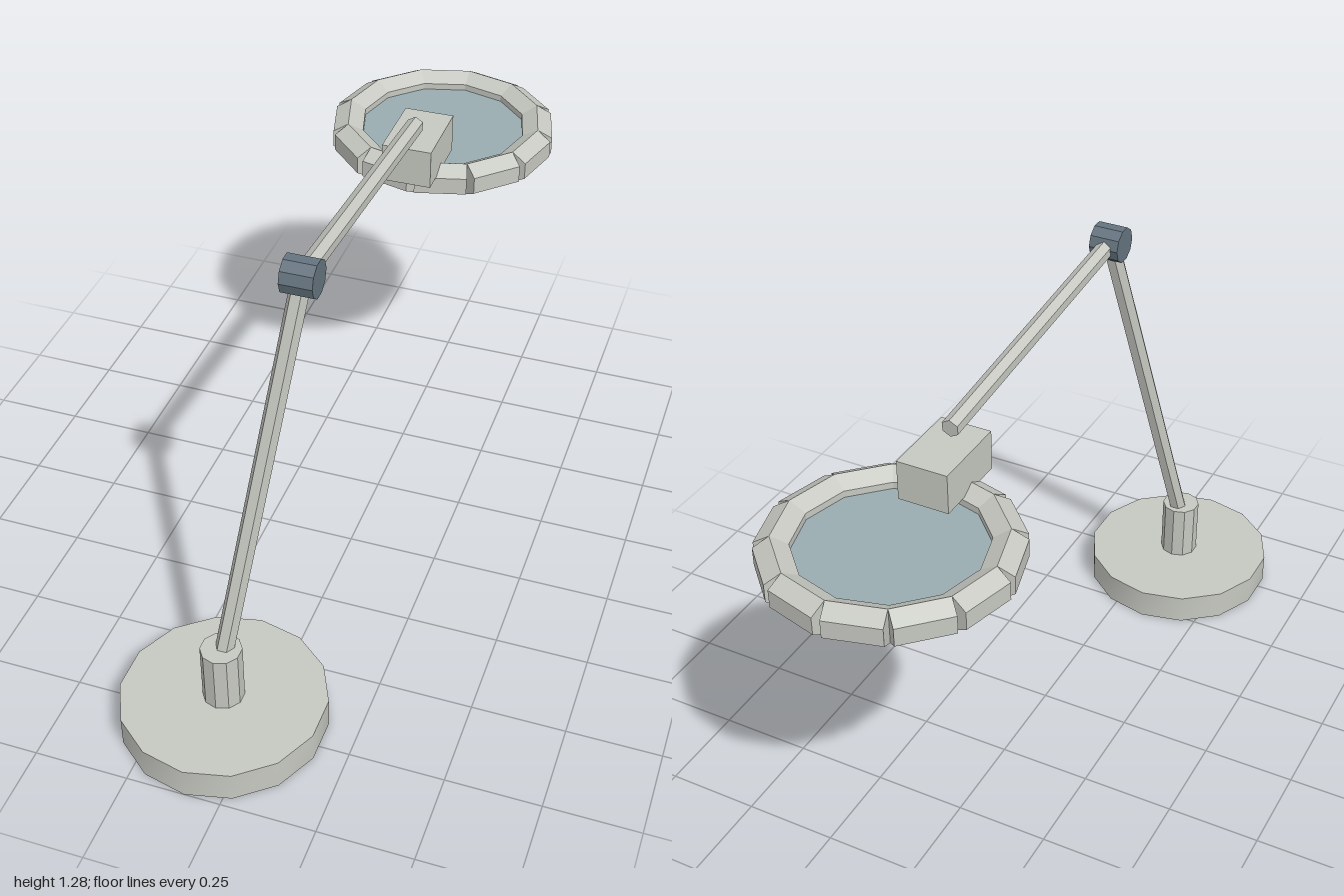
import * as THREE from 'three';
import { toCreasedNormals } from 'three/addons/utils/BufferGeometryUtils.js';

const material = (name, color) => {
  const m = new THREE.MeshStandardMaterial({ color });
  m.name = name;
  return m;
};

export function createModel() {
  const body = material('warm grey', 0xc6c8c1);
  const steel = material('slate blue', 0x65747f);
  const lensBlue = material('lens blue', 0x9aacb0);

  const model = new THREE.Group();
  model.name = 'magnifierLamp';

  function add(name, geometry, mat, x, y, z, parent = model) {
    const mesh = new THREE.Mesh(toCreasedNormals(geometry, 0.5), mat);
    mesh.name = name;
    mesh.position.set(x, y, z);
    parent.add(mesh);
    return mesh;
  }

  // Hexagonal bar from a to b, turned by roll about its own axis
  function bar(name, a, b, radius, roll = 0, parent = model) {
    const dir = b.clone().sub(a);
    const geometry = new THREE.CylinderGeometry(radius, radius, dir.length(), 6).rotateY(roll);
    const mid = a.clone().add(b).multiplyScalar(0.5);
    const mesh = add(name, geometry, mat6, mid.x, mid.y, mid.z, parent);
    mesh.quaternion.setFromUnitVectors(new THREE.Vector3(0, 1, 0), dir.normalize());
    return mesh;
  }
  const mat6 = body;

  // Base and stem
  add('base', new THREE.CylinderGeometry(0.27, 0.27, 0.084, 14), body, -0.095, 0.042, 0.73);
  add('stem', new THREE.CylinderGeometry(0.054, 0.054, 0.167, 10), body, -0.095, 0.1645, 0.73);

  // Two arms meeting at the elbow
  const elbow = new THREE.Vector3(0.04, 1.23, 0.46);
  bar('lowerArm', new THREE.Vector3(-0.095, 0.2, 0.73), elbow, 0.025, Math.PI / 6);
  bar('upperArm', elbow, new THREE.Vector3(0.04, 1.147, -0.41), 0.024);
  add('elbowJoint', new THREE.CylinderGeometry(0.048, 0.048, 0.082, 10).rotateZ(Math.PI / 2),
    steel, elbow.x, elbow.y, elbow.z);

  // Block holding the lamp head
  add('headMount', new THREE.BoxGeometry(0.135, 0.106, 0.21), body, 0.04, 1.063, -0.439);

  // Lamp head: twelve straight hexagonal segments around a lens
  const head = new THREE.Group();
  head.name = 'lampHead';
  head.position.set(0.04, 0.983, -0.688);
  model.add(head);
  const count = 12, ringRadius = 0.273;
  const length = 2 * ringRadius * Math.sin(Math.PI / count);
  const apothem = ringRadius * Math.cos(Math.PI / count);
  for (let i = 0; i < count; i++) {
    const angle = ((i + 0.5) / count) * Math.PI * 2;
    // Lay the segment along x with a hexagon corner pointing up
    const geometry = new THREE.CylinderGeometry(0.0475, 0.0475, length, 6)
      .rotateY(Math.PI / 6)
      .rotateZ(Math.PI / 2)
      .translate(0, 0, apothem)
      .rotateY(angle);
    add('ringSegment' + (i + 1), geometry, body, 0, 0, 0, head);
  }
  add('lens', new THREE.CylinderGeometry(0.25, 0.25, 0.012, 24), lensBlue, 0, 0, 0, head);

  return model;
}
